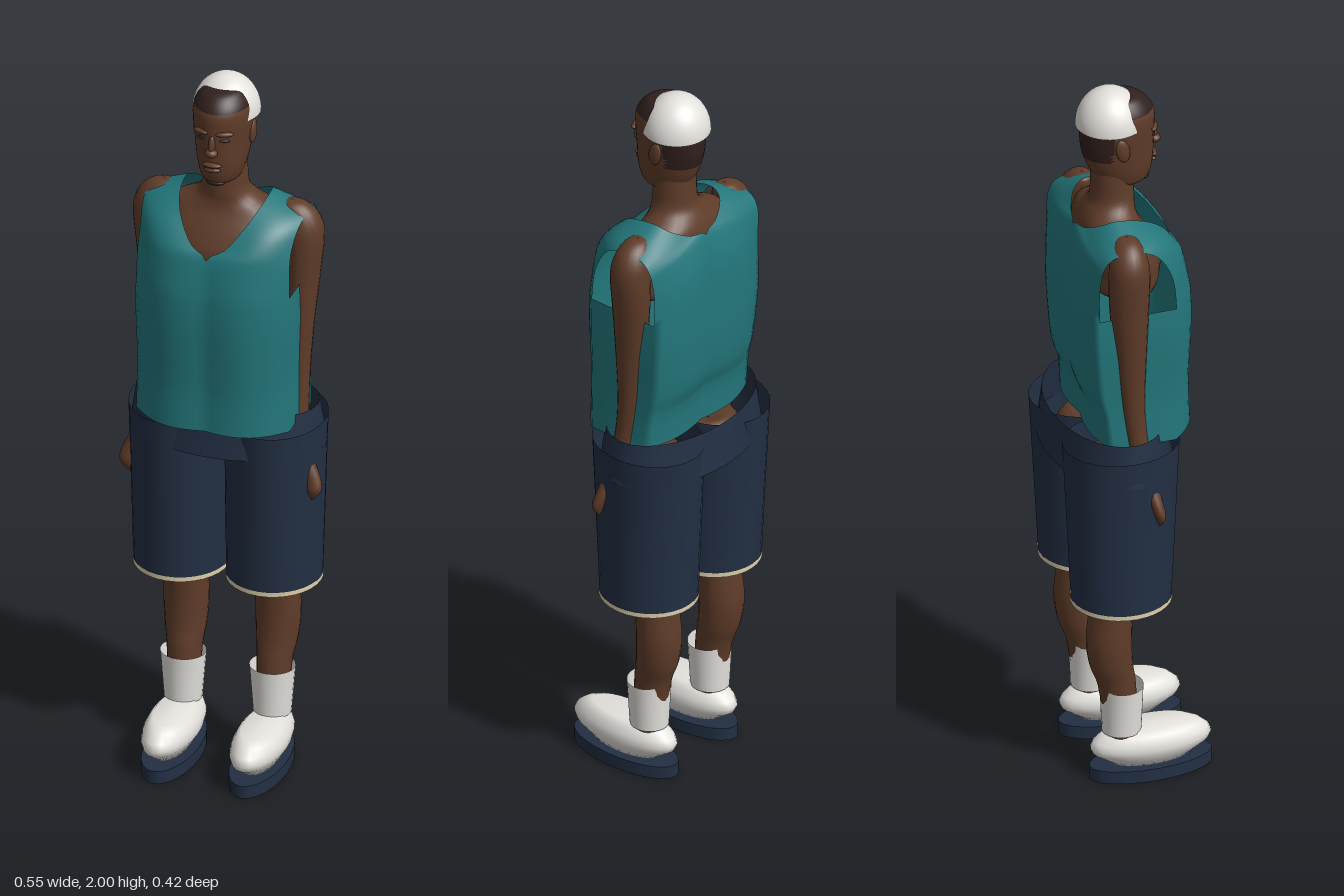
import * as THREE from 'three';
import { mergeVertices, mergeGeometries } from 'three/addons/utils/BufferGeometryUtils.js';

const mat = (name, color, side = THREE.FrontSide) => {
  const m = new THREE.MeshStandardMaterial({ color, side });
  m.name = name;
  return m;
};

// Surface grid from a rule fn(i, j) -> [x, y, z]
function grid(nu, nv, fn, flip = false) {
  const pos = [], idx = [];
  for (let j = 0; j <= nv; j++) for (let i = 0; i <= nu; i++) pos.push(...fn(i, j));
  for (let j = 0; j < nv; j++) for (let i = 0; i < nu; i++) {
    const a = j * (nu + 1) + i, b = a + 1, c = a + nu + 1, d = c + 1;
    if (flip) idx.push(a, d, b, a, c, d);
    else idx.push(a, b, d, a, d, c);
  }
  const g = new THREE.BufferGeometry();
  g.setAttribute('position', new THREE.Float32BufferAttribute(pos, 3));
  g.setIndex(idx);
  return g;
}

function weld(g) {
  const w = mergeVertices(g, 1e-5);
  w.computeVertexNormals();
  return w;
}

// Smooth interpolation through rows of numbers, t in 0..1
function spline(rows, t) {
  const n = rows.length - 1, f = t * n, k = Math.min(Math.floor(f), n - 1), s = f - k;
  const at = (i) => rows[Math.max(0, Math.min(n, i))];
  return rows[k].map((_, c) => {
    const p0 = at(k - 1)[c], p1 = at(k)[c], p2 = at(k + 1)[c], p3 = at(k + 2)[c];
    const v0 = (p2 - p0) / 2, v1 = (p3 - p1) / 2;
    return (2 * p1 - 2 * p2 + v0 + v1) * s ** 3 + (3 * p2 - 3 * p1 - 2 * v0 - v1) * s * s + v0 * s + p1;
  });
}

// Loft of ellipses, rows bottom to top: [y, cx, cz, rx, rz]
function loft(rows, seg = 24, steps = 4) {
  const nv = (rows.length - 1) * steps;
  return weld(grid(seg, nv, (i, j) => {
    const [y, cx, cz, rx, rz] = spline(rows, j / nv);
    const a = ((i % seg) / seg) * Math.PI * 2;
    return [cx + rx * Math.sin(a), y, cz + rz * Math.cos(a)];
  }));
}

export function createModel() {
  const root = new THREE.Group();
  root.name = 'standingPlayer';
  const skin = mat('skin', 0x5f3c29);
  const hair = mat('hair', 0x30201d);
  const teal = mat('jerseyTeal', 0x23777c, THREE.DoubleSide);
  const navy = mat('navy', 0x222f43, THREE.DoubleSide);
  const white = mat('white', 0xe4e2dd, THREE.DoubleSide);
  const cream = mat('cream', 0xddcfaa, THREE.DoubleSide);

  const add = (name, geo, material, p = [0, 0, 0], s = [1, 1, 1], r = [0, 0, 0]) => {
    const m = new THREE.Mesh(geo, material);
    m.name = name;
    m.position.set(...p);
    m.scale.set(...s);
    m.rotation.set(...r);
    root.add(m);
    return m;
  };
  const ball = new THREE.SphereGeometry(1, 16, 12);

  // Chest and neck
  add('chestAndNeck', loft([
    [1.45, 0, -0.02, 0.002, 0.002], [1.45, 0, -0.02, 0.165, 0.09], [1.51, 0, -0.015, 0.178, 0.108],
    [1.57, 0, -0.025, 0.18, 0.095], [1.62, 0, -0.035, 0.15, 0.076], [1.65, 0, -0.033, 0.092, 0.066],
    [1.68, 0, -0.025, 0.064, 0.059], [1.73, 0, -0.024, 0.058, 0.056], [1.8, 0, -0.024, 0.056, 0.056],
  ]), skin);

  // Head, with the hairline falling towards the nape
  const headRows = [
    [1.715, 0.03, -0.04, 0.02], [1.725, 0.066, -0.06, 0.046], [1.75, 0.08, -0.075, 0.058],
    [1.79, 0.086, -0.095, 0.067], [1.84, 0.088, -0.108, 0.073], [1.89, 0.09, -0.11, 0.078],
    [1.93, 0.088, -0.102, 0.077], [1.96, 0.069, -0.085, 0.063], [1.977, 0.042, -0.05, 0.042],
    [1.982, -0.003, -0.006, 0.001],
  ].map(([y, f, b, rx]) => [y, 0, (f + b) / 2, rx, (f - b) / 2]);
  const headGeo = loft(headRows, 40, 5);
  const P = headGeo.attributes.position, ids = headGeo.index.array, face = [], scalp = [];
  for (let k = 0; k < ids.length; k += 3) {
    const tri = [ids[k], ids[k + 1], ids[k + 2]];
    const mean = (f) => tri.reduce((s, i) => s + f(i), 0) / 3;
    const y = mean((i) => P.getY(i)), z = mean((i) => P.getZ(i));
    const line = z > -0.01 ? 1.935 : z > -0.045 ? 1.89 : 1.81;
    (y > line ? scalp : face).push(...tri);
  }
  headGeo.setIndex([...face, ...scalp]);
  headGeo.addGroup(0, face.length, 0);
  headGeo.addGroup(face.length, scalp.length, 1);
  add('head', headGeo, [skin, hair]);

  // Facial features
  add('noseBridge', ball, skin, [0, 1.85, 0.088], [0.009, 0.03, 0.012], [-0.2, 0, 0]);
  add('noseTip', ball, skin, [0, 1.827, 0.093], [0.017, 0.012, 0.016]);
  add('upperLip', ball, skin, [0, 1.789, 0.086], [0.026, 0.007, 0.012]);
  add('lowerLip', ball, skin, [0, 1.775, 0.084], [0.023, 0.008, 0.012]);
  add('mouthLine', ball, hair, [0, 1.782, 0.088], [0.022, 0.0015, 0.007]);
  add('chinBeard', ball, hair, [0, 1.727, 0.059], [0.026, 0.01, 0.016]);
  for (const s of [1, -1]) {
    add('brow', ball, skin, [s * 0.033, 1.882, 0.081], [0.024, 0.007, 0.009], [0, s * 0.4, 0]);
    add('eye', ball, hair, [s * 0.032, 1.862, 0.08], [0.014, 0.004, 0.004], [0, s * 0.4, 0]);
    add('ear', ball, skin, [s * 0.076, 1.85, -0.02], [0.009, 0.034, 0.019], [-0.2, 0, 0]);
  }

  // Skull cap
  add('cap', new THREE.SphereGeometry(0.09, 40, 16, 0, Math.PI * 2, 0, Math.PI / 2), white,
    [0, 1.897, -0.03], [1, 1.144, 1]);

  // Jersey: lower tube, rows [y, halfWidth, frontZ, backZ, sideFrontZ, sideBackZ]
  const lower = [
    [1.035, 0.21, 0.15, -0.112, 0.08, -0.09], [1.13, 0.207, 0.146, -0.117, 0.08, -0.1],
    [1.2, 0.207, 0.148, -0.14, 0.08, -0.115], [1.34, 0.212, 0.155, -0.15, 0.08, -0.128],
    [1.43, 0.21, 0.152, -0.15, 0.08, -0.13],
  ];
  // Shoulder straps from chest to back, rows [inner x, y, z, outer x, y, z]
  const strap = [
    [0, 1.43, 0.152, 0.21, 1.43, 0.08], [0, 1.53, 0.135, 0.208, 1.5, 0.075],
    [0.045, 1.56, 0.118, 0.207, 1.55, 0.06], [0.085, 1.61, 0.08, 0.212, 1.595, 0.03],
    [0.11, 1.65, 0.025, 0.217, 1.62, -0.01], [0.117, 1.668, -0.05, 0.218, 1.63, -0.05],
    [0.1, 1.652, -0.092, 0.218, 1.615, -0.1], [0.05, 1.625, -0.118, 0.217, 1.59, -0.12],
    [0, 1.612, -0.13, 0.214, 1.56, -0.127], [0, 1.53, -0.147, 0.208, 1.5, -0.13],
    [0, 1.43, -0.15, 0.21, 1.43, -0.13],
  ];
  const N = 10, bulge = (u) => 0.012 * Math.sin(Math.PI * u);
  const panels = [];
  for (const s of [1, -1]) {
    panels.push(grid(2 * N + 1, 12, (i, j) => {
      const [y, w, zf, zb, sf, sb] = spline(lower, j / 12);
      const front = i <= N, u = (front ? i : 2 * N + 1 - i) / N;
      const z = front ? zf + (sf - zf) * u ** 3 + bulge(u) : zb + (sb - zb) * u ** 3 - bulge(u);
      return [s * w * u, y, z];
    }, s < 0));
    panels.push(grid(N, 30, (i, j) => {
      const [xi, yi, zi, xo, yo, zo] = spline(strap, j / 30), u = i / N;
      const out = bulge(u) * Math.cos((j / 30) * Math.PI);
      return [s * Math.max(0, xi + (xo - xi) * u), yi + (yo - yi) * u, zi + (zo - zi) * u ** 3 + out];
    }, s < 0));
  }
  add('jersey', weld(mergeGeometries(panels)), teal);

  // Waistband
  add('waistband', loft([[0.94, 0, -0.045, 0.265, 0.163], [1.06, 0, -0.045, 0.246, 0.148]], 28, 1), navy);

  for (const s of [1, -1]) {
    const side = s > 0 ? 'left' : 'right';
    // Arm, tucked into the shorts with the hand at the hip
    add(side + 'Arm', loft([
      [0.81, 0.252, 0.02, 0.002, 0.002], [0.84, 0.256, 0.02, 0.02, 0.014], [0.875, 0.248, 0.012, 0.022, 0.017],
      [0.93, 0.222, 0, 0.024, 0.022], [1.02, 0.2, -0.02, 0.028, 0.028], [1.15, 0.192, -0.035, 0.034, 0.033],
      [1.3, 0.196, -0.041, 0.039, 0.042], [1.45, 0.205, -0.048, 0.045, 0.052],
      [1.56, 0.207, -0.048, 0.053, 0.054], [1.615, 0.194, -0.047, 0.05, 0.045],
      [1.645, 0.178, -0.045, 0.034, 0.026], [1.652, 0.175, -0.045, 0.002, 0.002],
    ].map(([y, cx, ...r]) => [y, s * cx, ...r]), 20, 4), skin);

    // Shorts leg and hem trim
    add(side + 'ShortsLeg', loft([[0.545, s * 0.127, -0.043, 0.125, 0.132], [1.015, s * 0.131, -0.045, 0.133, 0.155]], 32, 1), navy);
    add(side + 'HemTrim', loft([[0.539, s * 0.127, -0.043, 0.127, 0.134], [0.552, s * 0.127, -0.043, 0.127, 0.134]], 32, 1), cream);

    // Bare leg
    add(side + 'Leg', loft([
      [0.12, s * 0.122, -0.04, 0.042, 0.042], [0.27, s * 0.123, -0.053, 0.046, 0.05],
      [0.34, s * 0.125, -0.07, 0.055, 0.057], [0.42, s * 0.126, -0.076, 0.06, 0.06],
      [0.52, s * 0.125, -0.068, 0.058, 0.058], [0.65, s * 0.122, -0.055, 0.065, 0.065],
      [0.95, s * 0.11, -0.045, 0.085, 0.085], [0.96, s * 0.11, -0.045, 0.002, 0.002],
    ], 20, 4), skin);

    // Sock, shoe and sole
    add(side + 'Sock', loft([[0.135, s * 0.122, -0.04, 0.05, 0.052], [0.27, s * 0.122, -0.04, 0.061, 0.057]], 24, 1), white);
    const shoe = [[0.001, 0.035], [0.64, 0.037], [0.8, 0.055], [0.95, 0.072], [1, 0.09],
      [0.95, 0.108], [0.82, 0.126], [0.64, 0.14], [0.001, 0.142]].map(([r, y]) => new THREE.Vector2(r, y));
    add(side + 'Shoe', new THREE.LatheGeometry(shoe, 24), white, [s * 0.121, 0, 0.04], [0.07, 1, 0.165]);
    add(side + 'Sole', new THREE.CylinderGeometry(1, 1, 0.036, 24), navy, [s * 0.12, 0.018, 0.04], [0.07, 1, 0.167]);
  }
  return root;
}
